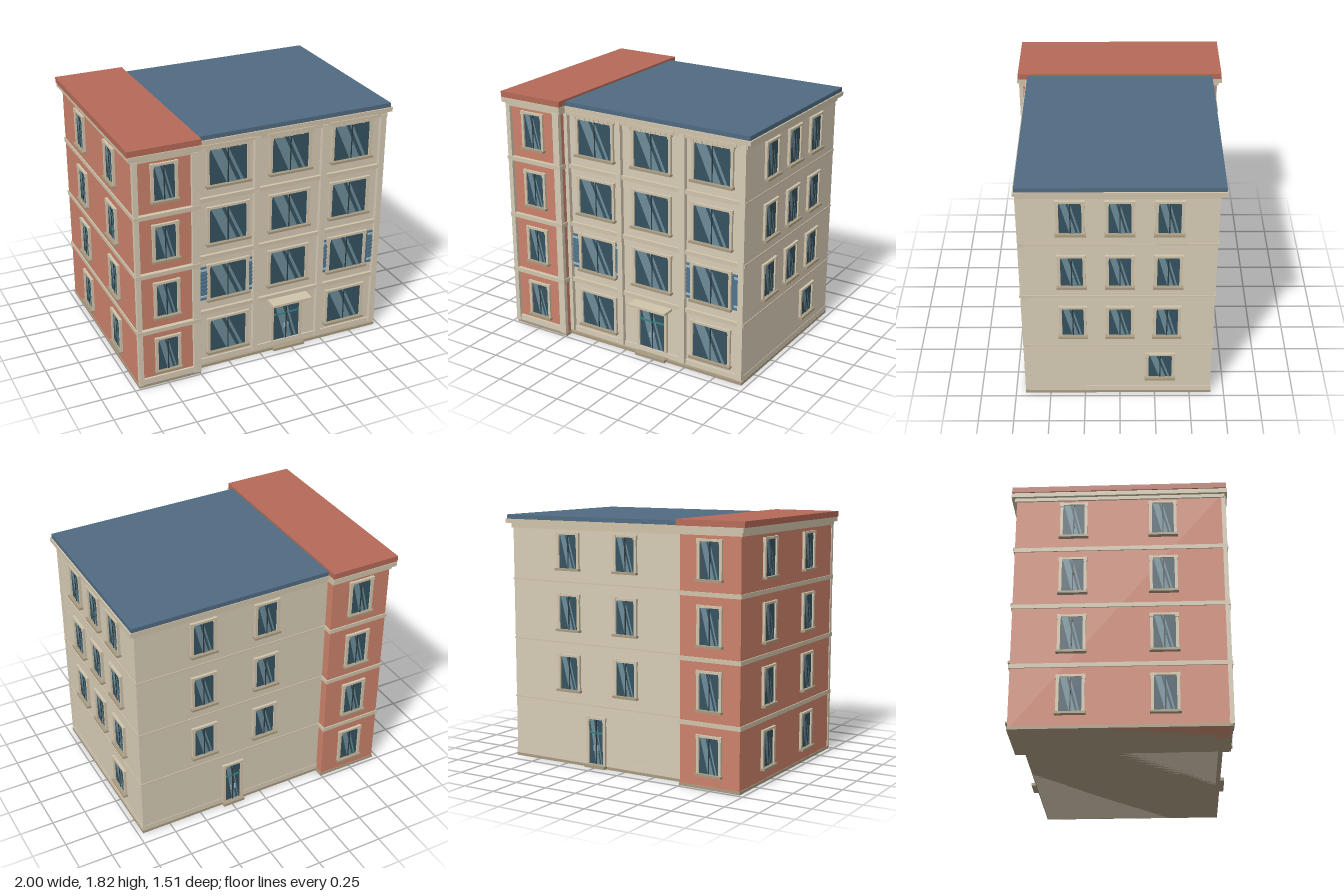
import * as THREE from 'three';

const mat = (color) => new THREE.MeshStandardMaterial({ color });
const M = {
  stone: mat(0xd6cbb5), trim: mat(0xcfc3aa), sill: mat(0xa89a80), brick: mat(0xcb826b),
  redRoof: mat(0xb56a57), blueRoof: mat(0x506b82), glass: mat(0x35525f), shine: mat(0x6c8c98),
  dark: mat(0x2c3a40), panel: mat(0x50748c), slat: mat(0x9fbac4), teal: mat(0x2f8580),
};

// Box given by its extents
function box(parent, name, m, x0, x1, y0, y1, z0, z1) {
  const mesh = new THREE.Mesh(new THREE.BoxGeometry(x1 - x0, y1 - y0, z1 - z0), m);
  mesh.position.set((x0 + x1) / 2, (y0 + y1) / 2, (z0 + z1) / 2);
  mesh.name = name;
  parent.add(mesh);
  return mesh;
}

// Slanted light streak across a pane
function streak(parent, w, h, a, b) {
  const s = 0.42 * w, l = -w / 2;
  const shape = new THREE.Shape([[l + a * w + s, 0], [l + b * w + s, 0], [l + b * w, h], [l + a * w, h]]
    .map(([x, y]) => new THREE.Vector2(x, y)));
  const mesh = new THREE.Mesh(new THREE.ShapeGeometry(shape), M.shine);
  mesh.position.z = 0.009;
  mesh.name = 'glassStreak';
  parent.add(mesh);
}

// Glazing and surround; local origin is the bottom centre on the wall, +z outward
function opening(w, h) {
  const g = new THREE.Group(), a = w / 2, t = 0.02;
  box(g, 'pane', M.glass, -a, a, 0, h, -0.01, 0.006);
  streak(g, w, h, 0.04, 0.32);
  streak(g, w, h, 0.42, 0.5);
  box(g, 'mullion', M.dark, -0.004, 0.004, 0, h, 0, 0.012);
  for (const s of [-1, 1]) {
    const c = s * (a + t / 2);
    box(g, 'jamb', M.trim, c - t / 2, c + t / 2, 0, h, 0, 0.018);
    box(g, 'ear', M.trim, c - 0.013, c + 0.013, h - 0.015, h + 0.018, 0, 0.02);
  }
  box(g, 'lintel', M.trim, -a - t, a + t, h, h + 0.016, 0, 0.019);
  return g;
}

function makeWindow(w, h) {
  const g = opening(w, h), a = w / 2;
  box(g, 'sill', M.sill, -a - 0.027, a + 0.027, -0.016, 0, 0, 0.034);
  g.name = 'window';
  return g;
}

function makeDoor(w, h) {
  const g = opening(w, h), a = w / 2;
  box(g, 'doorBar', M.teal, -a, a, h * 0.68, h * 0.68 + 0.012, 0, 0.012);
  for (const s of [-1, 1]) box(g, 'handle', M.slat, s * 0.016 - 0.003, s * 0.016 + 0.003, h * 0.3, h * 0.42, 0, 0.018);
  g.name = 'door';
  return g;
}

// Put a wall item on a wall facing the given turn about y
function place(parent, item, x, y, z, turn) {
  item.position.set(x, y, z);
  item.rotation.y = turn;
  parent.add(item);
}

export function createModel() {
  const model = new THREE.Group();
  const FRONT = 0, LEFT = Math.PI / 2, BACK = Math.PI, RIGHT = -Math.PI / 2;
  const floors = [0.11, 0.55, 0.99, 1.43], bands = [0.45, 0.89, 1.33];
  const bays = [-0.25, 0.22, 0.70];

  // Main block
  const main = new THREE.Group();
  main.name = 'mainBlock';
  model.add(main);
  box(main, 'walls', M.stone, -0.5, 0.96, 0, 1.75, -0.65, 0.65);
  box(main, 'plinth', M.sill, -0.5, 0.965, 0, 0.02, -0.655, 0.68);
  box(main, 'baseCourse', M.stone, -0.5, 0.963, 0.02, 0.06, -0.653, 0.66);
  box(main, 'frieze', M.trim, -0.5, 0.97, 1.71, 1.745, -0.66, 0.675);
  box(main, 'cornice', M.trim, -0.5, 1, 1.745, 1.775, -0.69, 0.69);
  box(main, 'roof', M.blueRoof, -0.48, 0.99, 1.775, 1.806, -0.685, 0.68);
  for (const y of bands) {
    box(main, 'stringCourse', M.trim, -0.5, 0.965, y, y + 0.012, -0.655, 0.65);
    box(main, 'frontBand', M.trim, -0.5, 0.966, y - 0.015, y + 0.015, 0.64, 0.672);
  }

  // Front pilasters
  for (const [a, b] of [[-0.51, -0.47], [-0.06, -0.02], [0.455, 0.5], [0.92, 0.962]])
    box(main, 'pilaster', M.stone, a, b, 0.03, 1.73, 0.64, 0.68);

  // Front windows, with the entrance in the middle bay
  bays.forEach((x, i) => floors.forEach((y, f) => {
    if (i !== 1 || f > 0) place(main, makeWindow(0.28, 0.26), x, y, 0.65, FRONT);
  }));
  place(main, makeDoor(0.21, 0.31), 0.22, 0.065, 0.65, FRONT);
  box(main, 'canopy', M.trim, 0.07, 0.38, 0.403, 0.42, 0.65, 0.75);
  box(main, 'entranceStep', M.sill, 0.1, 0.35, 0.005, 0.025, 0.65, 0.71);

  // Louvred panels beside the outer windows of the second storey
  for (const [a, b] of [[-0.47, -0.06], [0.5, 0.92]]) {
    box(main, 'louvrePanel', M.panel, a, b, 0.545, 0.81, 0.645, 0.654);
    for (let i = 0; i < 8; i++) {
      const y = 0.568 + i * 0.03, edge = i === 0 || i === 7;
      for (const [c, d] of [[a, a + 0.06], [b - 0.04, b]])
        box(main, 'louvreSlat', edge ? M.slat : M.panel, c, d, y, y + 0.014, 0.65, 0.662);
    }
  }

  // Brackets below the cornice
  for (const x of bays) {
    box(main, 'bracketRail', M.trim, x - 0.19, x + 0.19, 1.715, 1.735, 0.65, 0.682);
    for (let i = 0; i < 9; i++) {
      const c = x - 0.16 + i * 0.04, low = i % 2 ? 1.7 : 1.69;
      box(main, 'bracket', M.trim, c - 0.008, c + 0.008, low, 1.72, 0.65, 0.676);
    }
  }

  // Side wall windows
  for (const z of [0.325, 0, -0.325])
    for (const y of floors.slice(1)) place(main, makeWindow(0.15, 0.24), 0.96, y + 0.005, z, LEFT);
  place(main, makeWindow(0.165, 0.205), 0.96, 0.16, -0.285, LEFT);

  // Rear windows and door
  for (const x of [0.465, -0.02])
    for (const y of floors.slice(1)) place(main, makeWindow(0.15, 0.24), x, y + 0.005, -0.65, BACK);
  place(main, makeDoor(0.12, 0.33), 0.235, 0.03, -0.65, BACK);
  box(main, 'rearStep', M.sill, 0.15, 0.32, 0.005, 0.025, -0.69, -0.65);

  // Brick wing
  const wing = new THREE.Group();
  wing.name = 'brickWing';
  model.add(wing);
  box(wing, 'walls', M.brick, -0.96, -0.5, 0, 1.75, -0.72, 0.72);
  box(wing, 'plinth', M.sill, -0.965, -0.495, 0, 0.02, -0.725, 0.735);
  box(wing, 'frontBase', M.stone, -0.96, -0.5, 0.02, 0.065, 0.71, 0.735);
  for (const [a, b] of [[-0.965, -0.93], [-0.55, -0.497]])
    box(wing, 'cornerPilaster', M.stone, a, b, 0.02, 1.73, 0.715, 0.745);
  for (const y of bands) {
    box(wing, 'band', M.trim, -0.968, -0.492, y - 0.017, y + 0.013, -0.728, 0.75);
  }
  box(wing, 'frieze', M.trim, -0.972, -0.488, 1.72, 1.745, -0.735, 0.74);
  box(wing, 'cornice', M.trim, -0.992, -0.48, 1.745, 1.778, -0.757, 0.757);
  box(wing, 'roof', M.redRoof, -1, -0.482, 1.778, 1.82, -0.752, 0.75);

  // Wing windows on front, rear and outer side
  for (const y of floors) {
    place(wing, makeWindow(0.15, 0.25), -0.74, y, 0.72, FRONT);
    place(wing, makeWindow(0.15, 0.25), -0.73, y, -0.72, BACK);
    for (const z of [-0.315, 0.305]) place(wing, makeWindow(0.15, 0.25), -0.96, y, z, RIGHT);
  }
  return model;
}
